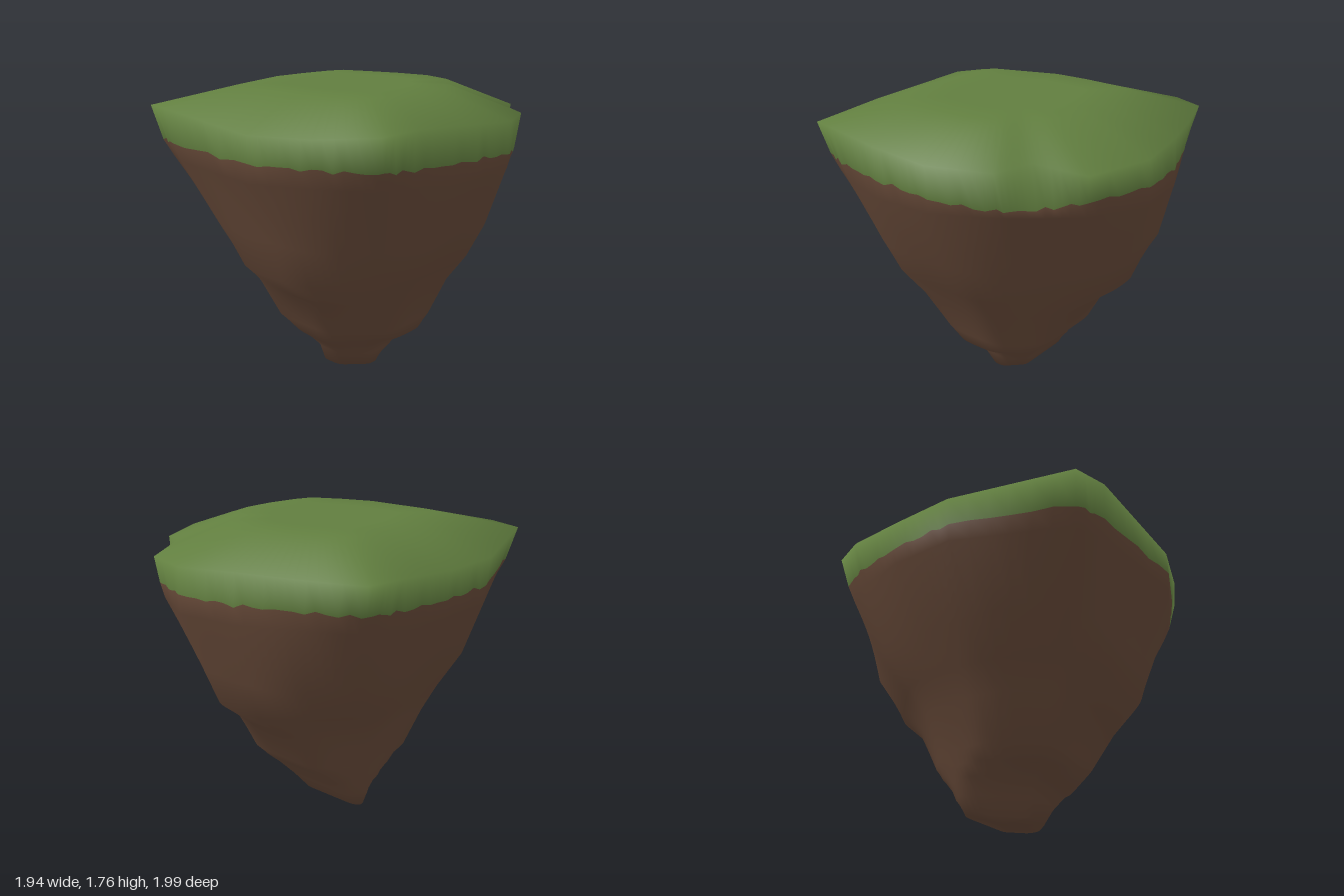
import * as THREE from 'three';

const grassMat = new THREE.MeshStandardMaterial({ name: 'grass green', color: 0x617e3f });
const soilMat = new THREE.MeshStandardMaterial({ name: 'soil brown', color: 0x664938 });

// Rim corners [x, z, y], counter-clockwise seen from above, starting at the back
const RIM = [
  [0.18, -1, 1.61], [-0.18, -0.95, 1.63], [-0.5, -0.86, 1.63], [-0.85, -0.74, 1.63],
  [-0.92, -0.55, 1.64], [-0.96, -0.18, 1.62], [-0.97, 0.2, 1.62], [-0.76, 0.9, 1.65],
  [-0.55, 0.96, 1.66], [0.18, 0.99, 1.61], [0.53, 0.89, 1.62], [0.85, 0.75, 1.65],
  [0.92, 0.55, 1.67], [0.97, 0.18, 1.65], [0.96, -0.18, 1.62], [0.82, -0.51, 1.61],
  [0.63, -0.6, 1.63], [0.53, -0.87, 1.59],
];
const NOTCH = 16; // column of the dent at the back left
const STEPS = 6;  // subdivisions of each rim edge

// Upper cross-sections, shaped like the rim: y, xMin, xMax, zMin, zMax, corner cut
// (the rim itself takes its heights from the corners)
const UPPER = [
  [1.762, -0.35, 0.35, -0.35, 0.35, 0],
  [1.76, -0.55, 0.56, -0.55, 0.57, 0],
  [null, -0.97, 0.97, -0.98, 0.99, 0],
  [1.45, -0.955, 0.96, -0.995, 1, 0.05],
  [1.36, -0.95, 0.96, -1, 0.995, 0.09],
];
const RIM_ROW = 2, EDGE_ROW = 3;

// Lower cross-sections, rounded octagons: y, then the reach towards
// +x, +x+z, +z, -x+z, -x, -x-z, -z, +x-z
const LOWER = [
  [0.98, 0.78, 0.82, 0.78, 0.82, 0.75, 0.83, 0.81, 0.76],
  [0.76, 0.66, 0.73, 0.75, 0.67, 0.63, 0.66, 0.75, 0.67],
  [0.6, 0.55, 0.6, 0.57, 0.59, 0.55, 0.55, 0.55, 0.56],
  [0.36, 0.44, 0.45, 0.44, 0.48, 0.46, 0.46, 0.41, 0.46],
  [0.28, 0.41, 0.38, 0.4, 0.37, 0.435, 0.43, 0.33, 0.4],
  [0.21, 0.26, 0.3, 0.31, 0.3, 0.415, 0.39, 0.26, 0.32],
  [0.12, 0.21, 0.22, 0.22, 0.23, 0.4, 0.36, 0.19, 0.22],
  [0.02, 0.17, 0.16, 0.19, 0.2, 0.39, 0.31, 0.12, 0.13],
];

// Ragged lower edge of the grass, sagging at the back left
function edgeOffset(x, z, k) {
  const sag = 0.06 * Math.exp(-6 * ((x - 0.85) ** 2 + (z + 0.55) ** 2));
  return 0.007 * Math.sin(k * 1.9) + 0.006 * Math.sin(k * 3.7 + 1) + 0.012 - sag;
}

// Rim outline fitted to the extents of one upper cross-section
function upperRing([level, x0, x1, z0, z1, cut], row) {
  const corners = RIM.map(([x, z, rimY], i) => {
    // The dent fills out below the rim
    if (i === NOTCH && row > RIM_ROW) [x, z] = [0.71, -0.68];
    const f = 1 - cut * Math.min(1, ((x * z) / 0.6) ** 2);
    return [
      f * (x > 0 ? (x / 0.97) * x1 : (x / -0.97) * x0),
      f * (z > 0 ? (z / 0.99) * z1 : -z * z0),
      level ?? rimY,
    ];
  });
  return corners.flatMap(([ax, az, ay], i) => {
    const [bx, bz, by] = corners[(i + 1) % corners.length];
    return Array.from({ length: STEPS }, (_, s) => {
      const t = s / STEPS, x = ax + (bx - ax) * t, z = az + (bz - az) * t;
      const ragged = row === EDGE_ROW ? edgeOffset(x, z, i * STEPS + s) : 0;
      return [x, ay + (by - ay) * t + ragged, z];
    });
  });
}

// Rounded octagon sampled in the directions of the ring above it
function lowerRing([y, ...reach], above) {
  return above.map(([x, , z]) => {
    const angle = Math.atan2(z, x);
    const sum = reach.reduce((total, r, i) =>
      total + Math.max(0, Math.cos(angle - (i * Math.PI) / 4) / r) ** 18, 0);
    const radius = sum ** (-1 / 18);
    return [radius * Math.cos(angle), y, radius * Math.sin(angle)];
  });
}

// Averages normals along each ring for soft, rounded corners
function softenNormals(geometry, ringCount, n) {
  const source = geometry.getAttribute('normal'), result = source.clone();
  const sum = new THREE.Vector3(), v = new THREE.Vector3();
  for (let r = 0; r < ringCount; r++) {
    for (let j = 0; j < n; j++) {
      sum.set(0, 0, 0);
      for (let o = -4; o <= 4; o++) {
        sum.addScaledVector(v.fromBufferAttribute(source, r * n + ((j + o + n) % n)), 5 - Math.abs(o));
      }
      sum.normalize();
      result.setXYZ(r * n + j, sum.x, sum.y, sum.z);
    }
  }
  geometry.setAttribute('normal', result);
}

export function createModel() {
  const n = RIM.length * STEPS;
  const rings = UPPER.map(upperRing);
  const shoulder = rings[rings.length - 1];
  LOWER.forEach((section) => rings.push(lowerRing(section, shoulder)));
  const pos = rings.flat(2);
  const topCentre = pos.length / 3, bottomCentre = topCentre + 1;
  pos.push(0, 1.762, 0, -0.14, 0, 0);

  // Faces between neighbouring cross-sections, plus both caps
  const grass = [], soil = [];
  const last = (rings.length - 1) * n;
  for (let j = 0; j < n; j++) {
    const k = (j + 1) % n;
    grass.push(topCentre, j, k);
    for (let r = 0; r < rings.length - 1; r++) {
      const a = r * n + j, b = r * n + k, c = a + n, d = b + n;
      (r < EDGE_ROW ? grass : soil).push(a, c, d, a, d, b);
    }
    soil.push(bottomCentre, last + k, last + j);
  }

  // Shared smooth normals keep the shading continuous across the colour edge
  const whole = new THREE.BufferGeometry();
  whole.setAttribute('position', new THREE.Float32BufferAttribute(pos, 3));
  whole.setIndex([...grass, ...soil]);
  whole.computeVertexNormals();
  softenNormals(whole, rings.length, n);

  const group = new THREE.Group();
  group.name = 'floatingIsland';
  const addPart = (name, index, material) => {
    const geometry = new THREE.BufferGeometry();
    geometry.setAttribute('position', whole.getAttribute('position'));
    geometry.setAttribute('normal', whole.getAttribute('normal'));
    geometry.setIndex(index);
    const mesh = new THREE.Mesh(geometry, material);
    mesh.name = name;
    group.add(mesh);
  };
  addPart('grassTop', grass, grassMat);
  addPart('soilBody', soil, soilMat);
  return group;
}
